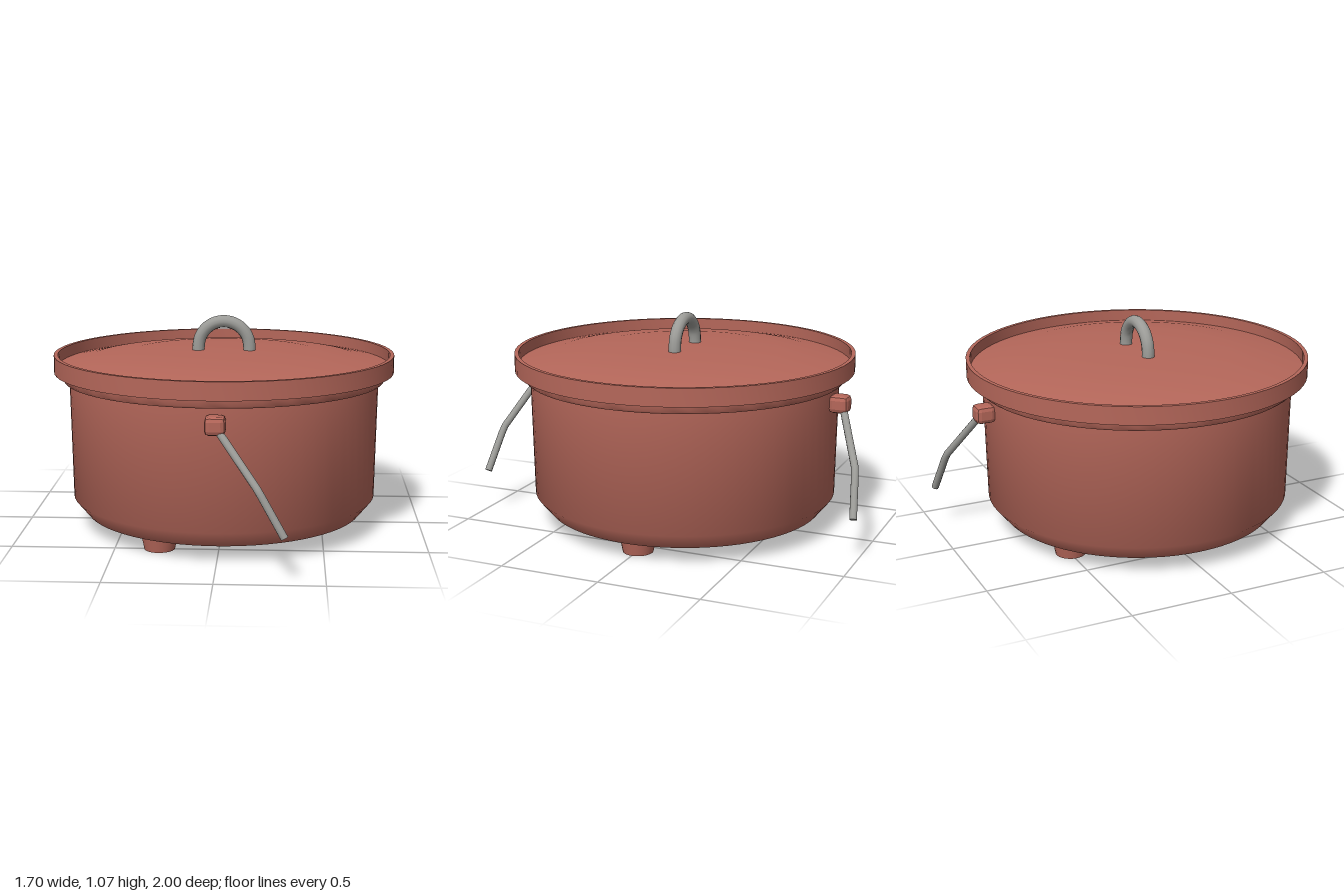
import * as THREE from 'three';
import { toCreasedNormals } from 'three/addons/utils/BufferGeometryUtils.js';
import { RoundedBoxGeometry } from 'three/addons/geometries/RoundedBoxGeometry.js';

const castIron = new THREE.MeshStandardMaterial({ color: 0xb5675a });
castIron.name = 'red enamel';
const steel = new THREE.MeshStandardMaterial({ color: 0x9c9c98 });
steel.name = 'grey steel';

function addMesh(parent, name, geometry, material) {
  const mesh = new THREE.Mesh(geometry, material);
  mesh.name = name;
  parent.add(mesh);
  return mesh;
}

// Turned part with crisp edges; profile runs from bottom to top
function turned(profile) {
  const points = profile.map(([r, y]) => new THREE.Vector2(r, y));
  return toCreasedNormals(new THREE.LatheGeometry(points, 72), 0.8);
}

// Round rod along a path, with flat end caps
function rod(parent, name, path, radius, segments) {
  const group = new THREE.Group();
  group.name = name;
  addMesh(group, 'rod', new THREE.TubeGeometry(path, segments, radius, 12), steel);
  for (const t of [0, 1]) {
    const cap = addMesh(group, 'rodEnd', new THREE.CircleGeometry(radius, 12), steel);
    cap.position.copy(path.getPointAt(t));
    const outward = path.getTangentAt(t).multiplyScalar(t ? 1 : -1);
    cap.quaternion.setFromUnitVectors(new THREE.Vector3(0, 0, 1), outward);
  }
  parent.add(group);
}

export function createModel() {
  const model = new THREE.Group();
  model.name = 'dutchOven';

  // Pot with chamfered base and stepped rim
  addMesh(model, 'pot', turned([
    [0, 0.08], [0.7, 0.08], [0.765, 0.16], [0.775, 0.75],
    [0.8, 0.75], [0.808, 0.76], [0.808, 0.8], [0.76, 0.8],
  ]), castIron);

  // Flanged lid with a shallow sunken dome
  addMesh(model, 'lid', turned([
    [0.76, 0.793], [0.85, 0.793], [0.85, 0.88], [0.83, 0.88], [0.83, 0.822],
    [0.68, 0.853], [0.48, 0.878], [0.25, 0.888], [0, 0.892],
  ]), castIron);

  // Arched lid handle
  const arch = [new THREE.Vector3(0.128, 0.87, 0)];
  for (let i = 0; i <= 8; i++) {
    const a = (i / 8) * Math.PI;
    arch.push(new THREE.Vector3(0.128 * Math.cos(a), 0.906 + 0.128 * Math.sin(a), 0));
  }
  arch.push(new THREE.Vector3(-0.128, 0.87, 0));
  rod(model, 'lidHandle', new THREE.CatmullRomCurve3(arch), 0.031, 32);

  // Three tapered feet
  for (let i = 0; i < 3; i++) {
    const a = (i * Math.PI * 2) / 3;
    const foot = addMesh(model, 'foot', new THREE.CylinderGeometry(0.09, 0.074, 0.085, 24), castIron);
    foot.position.set(0.57 * Math.cos(a), 0.0425, 0.57 * Math.sin(a));
  }

  // Lugs and hanging bail arms, front and back
  for (const side of [1, -1]) {
    const lugShape = new RoundedBoxGeometry(0.096, 0.086, 0.096, 1, 0.022);
    lugShape.computeVertexNormals();
    const lug = addMesh(model, 'bailLug', lugShape, castIron);
    lug.position.set(0, 0.677, side * 0.813);

    const points = [[0, 0.675, 0.825], [0.195, 0.418, 0.952], [0.314, 0.21, 0.983]]
      .map(([x, y, z]) => new THREE.Vector3(x, y, side * z));
    const path = new THREE.CurvePath();
    path.add(new THREE.LineCurve3(points[0], points[1]));
    path.add(new THREE.LineCurve3(points[1], points[2]));
    rod(model, 'bailArm', path, 0.018, 14);
  }

  return model;
}
